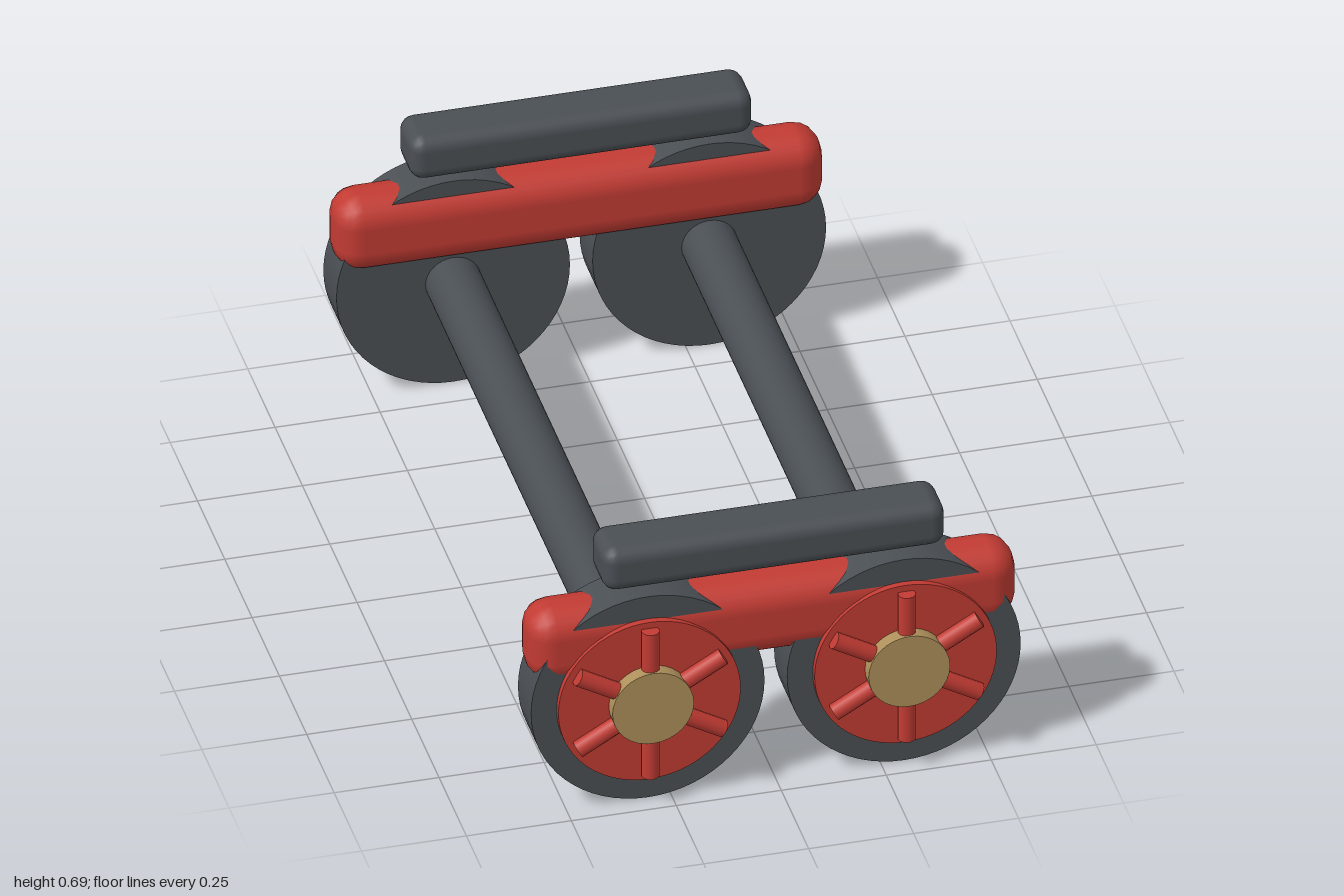
import * as THREE from 'three';
import { RoundedBoxGeometry } from 'three/addons/geometries/RoundedBoxGeometry.js';

const WHEEL_X = 0.305, WHEEL_R = 0.278;

function material(name, color) {
  const m = new THREE.MeshStandardMaterial({ color });
  m.name = name;
  return m;
}

function mesh(name, geometry, mat, x = 0, y = 0, z = 0) {
  const m = new THREE.Mesh(geometry, mat);
  m.name = name;
  m.position.set(x, y, z);
  return m;
}

// Cylinder along z, from z0 to z1
function disc(name, radius, z0, z1, mat, sides = 64) {
  const g = new THREE.CylinderGeometry(radius, radius, z1 - z0, sides).rotateX(Math.PI / 2);
  return mesh(name, g, mat, 0, 0, (z0 + z1) / 2);
}

export function createModel() {
  const steel = material('dark steel', 0x4a4f54);
  const red = material('red paint', 0xc23b33);
  const brass = material('brass', 0xae905a);

  const model = new THREE.Group();
  model.name = 'wheelTruck';

  // Wheel: tyre, painted face, six round spokes and a brass hub
  function createWheel() {
    const wheel = new THREE.Group();
    wheel.name = 'wheel';
    wheel.add(disc('tyre', WHEEL_R, 0.83, 0.95, steel));
    wheel.add(disc('wheelFace', 0.217, 0.94, 0.966, red));
    wheel.add(disc('hub', 0.097, 0.95, 1.0, brass, 32));
    const spokeGeometry = new THREE.CylinderGeometry(0.021, 0.021, 0.14, 12);
    for (let i = 0; i < 6; i++) {
      const a = i * Math.PI / 3;
      const spoke = mesh('spoke', spokeGeometry, red, -Math.sin(a) * 0.13, Math.cos(a) * 0.13, 0.975);
      spoke.rotation.z = a;
      wheel.add(spoke);
    }
    return wheel;
  }

  // Each side: two wheels, a side beam and a pad above it
  function createSide(name) {
    const side = new THREE.Group();
    side.name = name;
    for (const s of [-1, 1]) {
      const wheel = createWheel();
      wheel.position.set(s * WHEEL_X, WHEEL_R, 0);
      side.add(wheel);
    }
    side.add(mesh('sideBeam', new RoundedBoxGeometry(1.166, 0.194, 0.15, 2, 0.065), red, 0, 0.433, 0.881));
    side.add(mesh('topPad', new RoundedBoxGeometry(0.816, 0.115, 0.142, 2, 0.035), steel, 0, 0.631, 0.881));
    return side;
  }

  const front = createSide('frontSide');
  const back = createSide('backSide');
  back.rotation.y = Math.PI;
  model.add(front, back);

  // Axles joining opposite wheels
  for (const s of [-1, 1]) {
    const axle = disc('axle', 0.066, -0.85, 0.85, steel, 32);
    axle.position.set(s * WHEEL_X, WHEEL_R, 0);
    model.add(axle);
  }
  return model;
}
